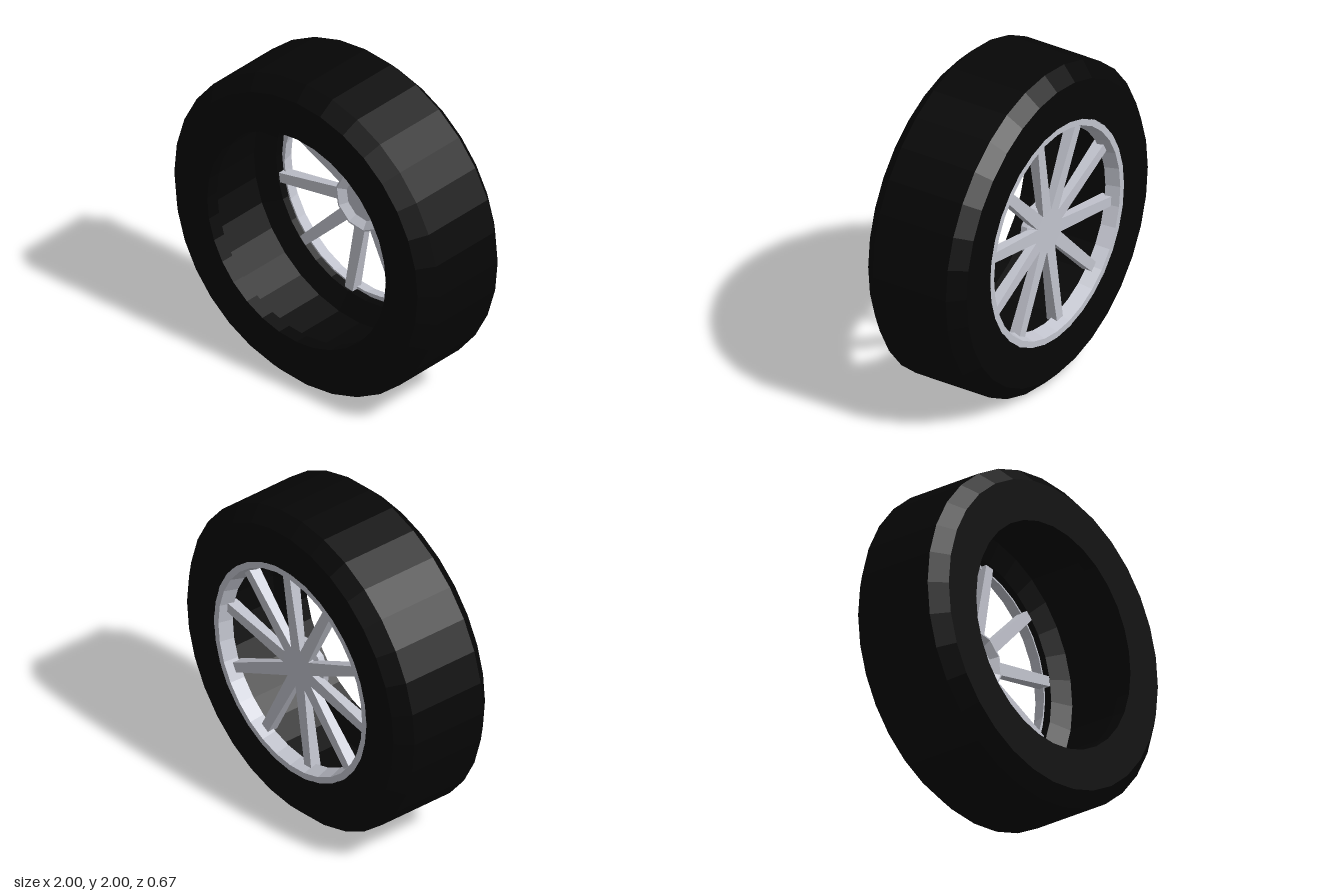
import * as THREE from 'three';

export function createModel() {
  const rubber = new THREE.MeshStandardMaterial({ color: 0x060606, flatShading: true });
  rubber.name = 'blackRubber';
  const metal = new THREE.MeshStandardMaterial({ color: 0xc2c4ce, flatShading: true });
  metal.name = 'silverMetal';

  const wheel = new THREE.Group();
  wheel.name = 'wheel';
  wheel.position.y = 1;

  // Turns a (radius, z) profile around the axle, which runs along z
  function turned(name, profile, sides, material, angle = 0) {
    const points = profile.map(([r, z]) => new THREE.Vector2(r, z));
    const geometry = new THREE.LatheGeometry(points, sides);
    geometry.rotateX(Math.PI / 2);
    geometry.rotateZ(angle);
    const mesh = new THREE.Mesh(geometry, material);
    mesh.name = name;
    wheel.add(mesh);
  }

  // Tyre: bevelled tread, flat sidewalls and a hollow inside
  turned('tyre', [
    [0.675, -0.335], [0.915, -0.335], [1, -0.25], [1, 0.25], [0.915, 0.335], [0.675, 0.335],
    [0.675, 0.25], [0.8, 0.2], [0.8, -0.2], [0.675, -0.25], [0.675, -0.335],
  ], 32, rubber);

  // Rim: flange at the back, and a short barrel narrowing towards the front
  turned('rim', [
    [0.637, -0.335], [0.677, -0.335], [0.677, -0.3], [0.642, -0.3], [0.622, -0.25],
    [0.612, -0.25], [0.637, -0.335],
  ], 32, metal);

  // Hub: a shallow dished collar around a cap, with a flat back level with the spokes
  const firstSpoke = THREE.MathUtils.degToRad(9);
  turned('hub', [
    [0, -0.28], [0.13, -0.28], [0.145, -0.25], [0.183, -0.24], [0.183, -0.2],
    [0.174, -0.2], [0.13, -0.235], [0, -0.235],
  ], 10, metal, firstSpoke);

  // Spokes: bars that get slimmer towards the rim
  const inner = 0.1235, outer = 0.63;
  const spokeGeometry = new THREE.BoxGeometry(1, 1, 1);
  const p = spokeGeometry.attributes.position;
  for (let i = 0; i < p.count; i++) {
    const atRim = p.getX(i) > 0;
    const atFront = p.getZ(i) > 0;
    const z = atFront ? (atRim ? -0.218 : -0.237) : (atRim ? -0.288 : -0.28);
    p.setXYZ(i, atRim ? outer : inner, p.getY(i) * (atRim ? 0.06 : 0.08), z);
  }
  spokeGeometry.computeVertexNormals();
  for (let i = 0; i < 10; i++) {
    const spoke = new THREE.Mesh(spokeGeometry, metal);
    spoke.name = 'spoke' + (i + 1);
    spoke.rotation.z = firstSpoke + (i * Math.PI) / 5;
    wheel.add(spoke);
  }

  const model = new THREE.Group();
  model.name = 'model';
  model.add(wheel);
  return model;
}
